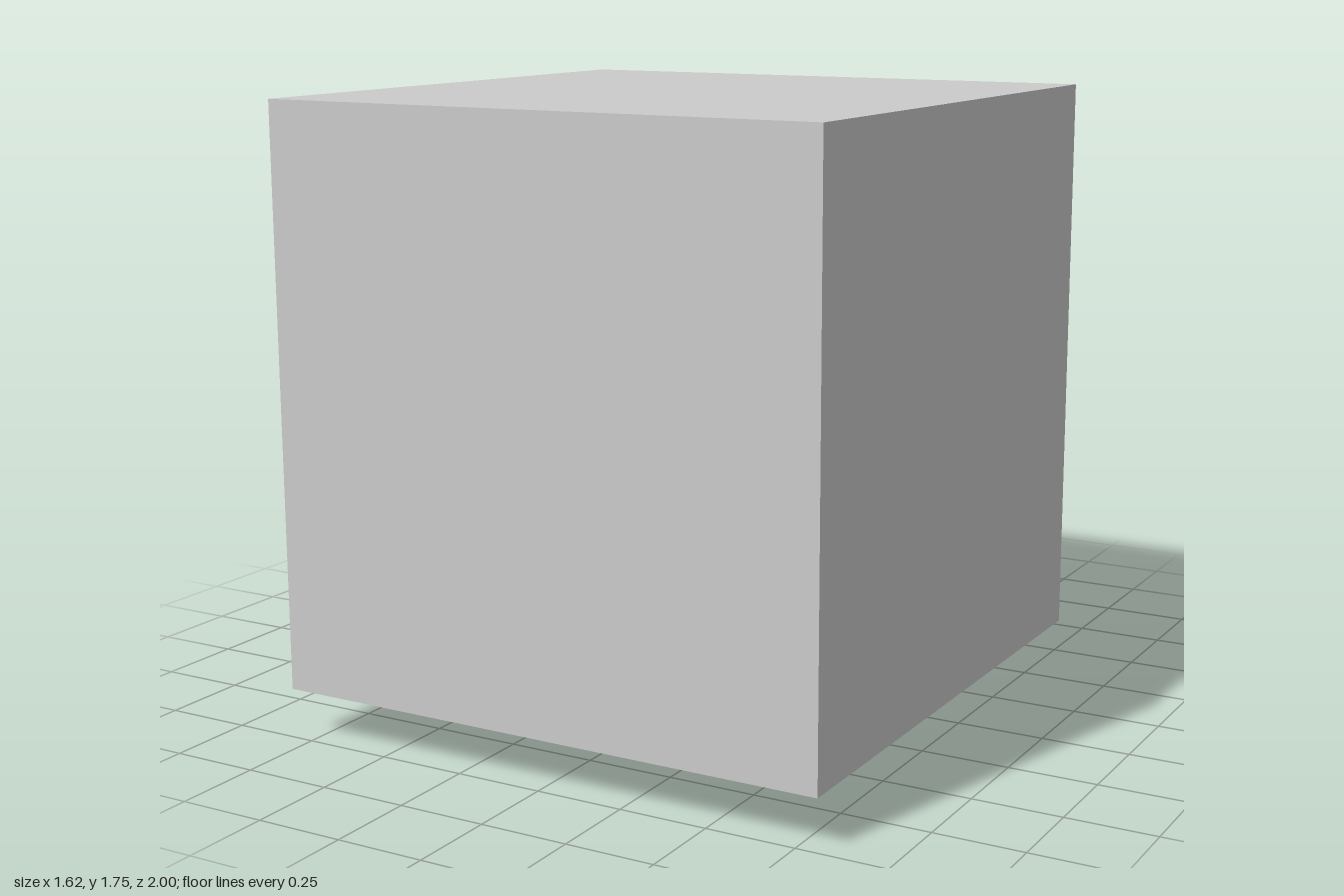
import * as THREE from 'three';
import { toCreasedNormals } from 'three/addons/utils/BufferGeometryUtils.js';

const material = (color = 0xcccccc, side = THREE.FrontSide) =>
  new THREE.MeshStandardMaterial({ color, side });

function add(parent, name, geometry, mat) {
  const mesh = new THREE.Mesh(geometry, mat);
  mesh.name = name;
  parent.add(mesh);
  return mesh;
}

function rect(hx, y0, y1, Type = THREE.Shape) {
  return new Type([[-hx, y0], [hx, y0], [hx, y1], [-hx, y1]].map(p => new THREE.Vector2(...p)));
}

// Skin over rectangular sections [z, halfWidth, bottom, top] in order of rising z
function loft(sections, capFirst) {
  const pos = [];
  const rings = sections.map(([z, hx, y0, y1]) =>
    [[-hx, y0, z], [hx, y0, z], [hx, y1, z], [-hx, y1, z]]);
  const quad = (a, b, c, d) => pos.push(...a, ...b, ...c, ...a, ...c, ...d);
  for (let i = 0; i + 1 < rings.length; i++) {
    const [p, q] = [rings[i], rings[i + 1]];
    for (let j = 0; j < 4; j++) {
      const k = (j + 1) % 4;
      quad(p[j], p[k], q[k], q[j]);
    }
  }
  if (capFirst) quad(rings[0][3], rings[0][2], rings[0][1], rings[0][0]);
  const g = new THREE.BufferGeometry();
  g.setAttribute('position', new THREE.Float32BufferAttribute(pos, 3));
  g.computeVertexNormals();
  return toCreasedNormals(g, 0.6);
}

export function createModel() {
  const model = new THREE.Group();
  const grey = material();
  const blue = material(0x0d47b5);

  // Housing: solid block with a square frame around the rear opening
  const frameDepth = 0.2, rear = -0.62;
  const housing = new THREE.Group();
  housing.name = 'housing';
  model.add(housing);
  const blockDepth = 1 - rear - frameDepth;
  add(housing, 'block', new THREE.BoxGeometry(1.62, 1.615, blockDepth), grey)
    .position.set(0, 0.9475, 1 - blockDepth / 2);
  const frame = rect(0.81, 0.14, 1.755);
  frame.holes.push(rect(0.618, 0.335, 1.555, THREE.Path));
  add(housing, 'rearFrame',
    new THREE.ExtrudeGeometry(frame, { depth: frameDepth, bevelEnabled: false }), grey)
    .position.z = rear;

  // Dark lining that slopes inward from the opening
  add(model, 'recessLining',
    loft([[rear, 0.617, 0.336, 1.554], [-0.44, 0.602, 0.585, 1.31]]),
    material(0x222222, THREE.DoubleSide));

  // Curved rocker face filling the recess
  const rocker = new THREE.Shape();
  rocker.absarc(0.375, 0.945, 0.95, Math.PI - 0.5, Math.PI + 0.5, false);
  rocker.closePath();
  const rockerGeometry = new THREE.ExtrudeGeometry(rocker,
    { depth: 1.2, bevelEnabled: false, curveSegments: 32 });
  rockerGeometry.translate(0, 0, -0.6).rotateY(-Math.PI / 2);
  add(model, 'rockerFace', toCreasedNormals(rockerGeometry, 0.5), grey);

  // Lever: tapers toward a nose with rounded edges; local z runs from nose to root
  const radius = 0.06, sections = [];
  const leverSection = (s, inset) => {
    const hx = Math.min(0.605, 0.455 + 0.32 * s) - inset;
    const hy = 0.086 + 0.218 * s - inset;
    sections.push([s, hx, -hy, hy]);
  };
  for (let i = 0; i <= 8; i++) {
    const a = (i / 8) * Math.PI / 2;
    leverSection(radius * (1 - Math.cos(a)), radius * (1 - Math.sin(a)));
  }
  leverSection(0.46, 0);
  leverSection(0.53, 0);
  const lever = add(model, 'lever', loft(sections, true), grey);
  lever.position.set(0, 0.56, -0.985);
  lever.rotation.x = -0.322;

  // Mounting foot: bevelled square ring with a slotted post inside
  const foot = new THREE.Group();
  foot.name = 'mountingFoot';
  foot.position.z = 0.192;
  model.add(foot);
  const ring = rect(0.17, -0.17, 0.17);
  ring.holes.push(rect(0.135, -0.135, 0.135, THREE.Path));
  const ringGeometry = new THREE.ExtrudeGeometry(ring,
    { depth: 0.14, bevelThickness: 0.018, bevelSize: 0.024, bevelSegments: 1 });
  ringGeometry.rotateX(-Math.PI / 2).translate(0, 0.018, 0);
  add(foot, 'footRing', ringGeometry, blue);
  add(foot, 'footFloor', new THREE.BoxGeometry(0.3, 0.06, 0.3), blue).position.y = 0.12;

  const post = new THREE.Shape().absarc(0, 0, 0.075, 0, Math.PI * 2, false);
  const w = 0.014, l = 0.052;
  post.holes.push(new THREE.Path([
    [w, w], [l, w], [l, -w], [w, -w], [w, -l], [-w, -l],
    [-w, -w], [-l, -w], [-l, w], [-w, w], [-w, l], [w, l],
  ].map(p => new THREE.Vector2(...p))));
  const postGeometry = new THREE.ExtrudeGeometry(post,
    { depth: 0.07, bevelEnabled: false, curveSegments: 16 });
  postGeometry.rotateX(-Math.PI / 2).translate(0, 0.03, 0);
  add(foot, 'footPost', toCreasedNormals(postGeometry, 0.5), blue);

  return model;
}
